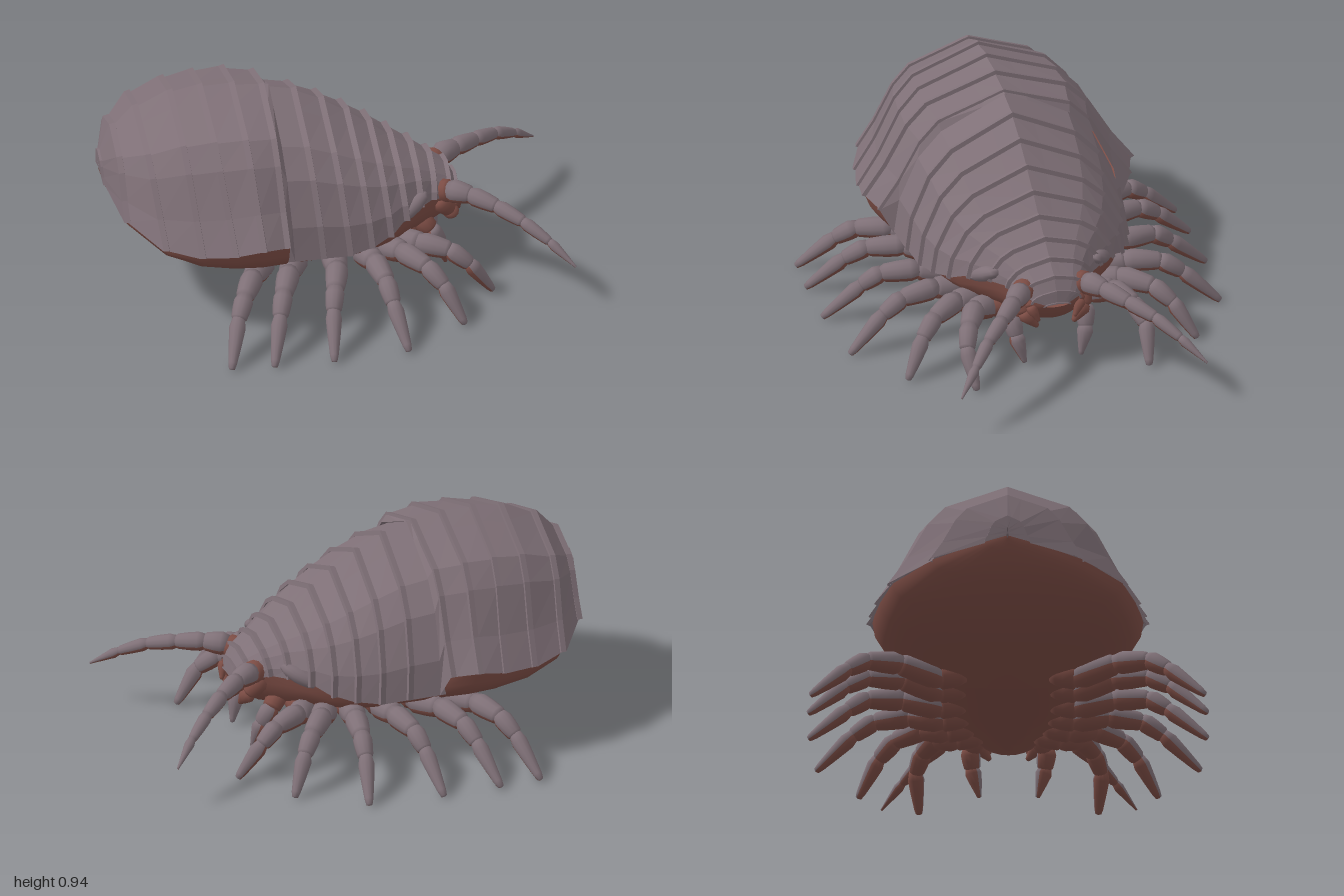
import * as THREE from 'three';

const shell = new THREE.MeshStandardMaterial({ color: 0x7f7077, side: THREE.DoubleSide });
shell.name = 'shell grey';
const flesh = new THREE.MeshStandardMaterial({ color: 0x7d4d45, side: THREE.DoubleSide });
flesh.name = 'belly brown';

// Station: ridge x, ridge y, side x, side y, half width, belly y
const abdomen = [
  [-0.995, 0.62, -0.99, 0.58, 0.004, 0.57],
  [-0.985, 0.67, -0.975, 0.55, 0.10, 0.52],
  [-0.92, 0.79, -0.91, 0.495, 0.33, 0.41],
  [-0.82, 0.875, -0.77, 0.445, 0.51, 0.315],
  [-0.67, 0.935, -0.62, 0.425, 0.565, 0.25],
  [-0.54, 0.95, -0.48, 0.43, 0.59, 0.225],
  [-0.40, 0.945, -0.36, 0.45, 0.60, 0.21],
  [-0.27, 0.925, -0.25, 0.435, 0.56, 0.20],
];
const thorax = [
  [-0.27, 0.925, -0.24, 0.33, 0.505, 0.20],
  [-0.13, 0.89, -0.08, 0.32, 0.485, 0.20],
  [-0.01, 0.83, 0.04, 0.31, 0.465, 0.20],
  [0.10, 0.76, 0.14, 0.32, 0.435, 0.20],
  [0.20, 0.69, 0.23, 0.34, 0.39, 0.20],
  [0.29, 0.62, 0.31, 0.375, 0.325, 0.20],
  [0.38, 0.56, 0.385, 0.39, 0.25, 0.20],
  [0.46, 0.505, 0.45, 0.385, 0.19, 0.21],
  [0.53, 0.455, 0.52, 0.37, 0.15, 0.25],
  [0.565, 0.40, 0.555, 0.35, 0.11, 0.30],
  [0.575, 0.35, 0.57, 0.335, 0.06, 0.33],
];

// Angular half sections of the back: width share, height share
const mirrored = half => [...half.slice(1).reverse().map(([u, v]) => [-u, v]), ...half];
const flared = mirrored([[0, 1], [0.17, 0.93], [0.52, 0.79], [0.67, 0.61], [0.84, 0.26], [1, 0]]);
const upright = mirrored([[0, 1], [0.2, 0.92], [0.57, 0.77], [0.78, 0.58], [0.95, 0.26], [1, 0]]);

function loft(rings, flat) {
  const n = rings[0].length, index = [];
  for (let i = 0; i < rings.length - 1; i++) {
    for (let j = 0; j < n - 1; j++) {
      const a = i * n + j, c = a + n;
      index.push(a, a + 1, c, a + 1, c + 1, c);
    }
  }
  let geo = new THREE.BufferGeometry();
  geo.setAttribute('position', new THREE.Float32BufferAttribute(rings.flat(2), 3));
  geo.setIndex(index);
  if (flat) geo = geo.toNonIndexed();
  geo.computeVertexNormals();
  return geo;
}

function add(parent, name, geo, mat) {
  const mesh = new THREE.Mesh(geo, mat);
  mesh.name = name;
  parent.add(mesh);
  return mesh;
}

function backRing(section, [rx, ry, sx, sy, w], lift, dx = 0) {
  const k = Math.min(1, w / 0.2);
  return section.map(([u, v]) => [
    rx + (sx - rx) * (1 - v) + dx * k,
    sy + (ry - sy) * v + lift * k * (0.3 + 0.7 * v),
    u * (w + lift * k * 0.8),
  ]);
}

// Overlapping plates: each has a raised front lip over the next one
function plates(parent, rows, section, name) {
  for (let i = 0; i < rows.length - 1; i++) {
    const a = rows[i], b = rows[i + 1];
    add(parent, name + (i + 1), loft([
      backRing(section, a, -0.006, -0.01), backRing(section, b, 0.004, -0.025),
      backRing(section, b, 0.011), backRing(section, b, -0.01, 0.004),
    ], true), shell);
  }
}

function bellyRing([, , sx, sy, w, by], inset) {
  const ring = [];
  for (let j = 0; j <= 16; j++) {
    const t = (j / 16) * Math.PI;
    ring.push([sx, sy + 0.01 - (sy + 0.01 - by) * Math.pow(Math.abs(Math.sin(t)), 0.8), w * inset * Math.cos(t)]);
  }
  return ring;
}

// One rounded limb joint, grey above and brown beneath
function joint(parent, a, b, r0, r1, upper) {
  const dir = b.clone().sub(a), L = dir.length();
  dir.normalize();
  const up = new THREE.Vector3(0, 1, 0).addScaledVector(dir, -dir.y).normalize();
  const basis = new THREE.Matrix4().makeBasis(new THREE.Vector3().crossVectors(dir, up), dir, up).setPosition(a);
  const profile = [[0, -r0 * 0.45], [r0 * 0.75, -r0 * 0.3], [r0, L * 0.15], [(r0 + r1) / 2 * 1.04, L * 0.5],
    [r1, L * 0.88], [r1 * 0.7, L], [0, L + r1 * 0.25]].map(p => new THREE.Vector2(...p));
  const top = new THREE.LatheGeometry(profile, 7, -0.6 * Math.PI, 1.2 * Math.PI);
  const under = new THREE.LatheGeometry(profile, 5, 0.6 * Math.PI, 0.8 * Math.PI);
  add(parent, 'jointUpper', top.applyMatrix4(basis), upper);
  add(parent, 'jointUnderside', under.applyMatrix4(basis), flesh);
}

function limb(parent, name, points, radii, side, fleshy) {
  const group = new THREE.Group();
  group.name = name;
  const p = points.map(([x, y, z]) => new THREE.Vector3(x, y, z * side));
  for (let i = 0; i < p.length - 1; i++) {
    joint(group, p[i], p[i + 1], radii[i], radii[i + 1] * 0.97, i < fleshy ? flesh : shell);
  }
  parent.add(group);
}

// Leg joints in plan: x, z pairs from hip to tip
const legs = [
  [[-0.32, 0.30], [-0.40, 0.47], [-0.46, 0.61], [-0.50, 0.69], [-0.555, 0.845]],
  [[-0.18, 0.30], [-0.24, 0.46], [-0.29, 0.61], [-0.32, 0.70], [-0.37, 0.855]],
  [[-0.02, 0.30], [-0.03, 0.46], [-0.065, 0.61], [-0.085, 0.69], [-0.11, 0.855]],
  [[0.11, 0.29], [0.14, 0.43], [0.165, 0.58], [0.18, 0.67], [0.22, 0.825]],
  [[0.22, 0.27], [0.27, 0.37], [0.36, 0.49], [0.42, 0.56], [0.495, 0.645]],
  [[0.30, 0.23], [0.36, 0.31], [0.48, 0.37], [0.56, 0.40], [0.66, 0.385]],
];
const legHeights = [0.22, 0.25, 0.235, 0.175, 0.03];

export function createModel() {
  const model = new THREE.Group();
  model.name = 'armouredCrustacean';

  plates(model, abdomen, flared, 'abdomenPlate');
  plates(model, thorax, upright, 'thoraxPlate');
  // Step where the wide abdomen narrows to the thorax
  add(model, 'waistStep', loft([
    backRing(flared, abdomen.at(-1), 0), backRing(upright, thorax[0], 0, 0.02),
  ], true), shell);
  // Belly rises at the front to form the underside of the head
  add(model, 'belly', loft([
    ...abdomen.map(r => bellyRing(r, 0.97)), ...thorax.map(r => bellyRing(r, 0.9)),
  ], false), flesh);

  for (const side of [1, -1]) {
    const s = side > 0 ? 'left' : 'right';

    // Walking legs with fleshy hips
    legs.forEach((leg, i) => {
      const pts = leg.map(([x, z], k) => [x, legHeights[k], z]);
      const hip = [leg[0][0] + 0.02, 0.245, leg[0][1] - 0.10];
      limb(model, `${s}Leg${i + 1}`, [hip, ...pts], [0.05, 0.056, 0.05, 0.042, 0.036, 0.02], side, 1);
    });

    // Short front legs tucked under the head
    limb(model, `${s}FrontLeg`, [[0.38, 0.27, 0.13], [0.43, 0.22, 0.165], [0.47, 0.15, 0.155], [0.50, 0.035, 0.125]],
      [0.045, 0.042, 0.036, 0.014], side, 1);

    // Long tapering antenna
    limb(model, `${s}Antenna`, [[0.44, 0.37, 0.09], [0.52, 0.40, 0.15], [0.60, 0.40, 0.205], [0.70, 0.38, 0.285],
      [0.80, 0.345, 0.375], [0.90, 0.285, 0.46], [0.995, 0.205, 0.548]],
      [0.055, 0.052, 0.042, 0.035, 0.029, 0.022, 0.007], side, 1);

    // Mouthparts
    limb(model, `${s}Mandible`, [[0.47, 0.35, 0.14], [0.52, 0.29, 0.13], [0.54, 0.23, 0.08]], [0.045, 0.036, 0.014], side, 2);
    limb(model, `${s}Palp`, [[0.50, 0.36, 0.10], [0.545, 0.33, 0.11], [0.565, 0.27, 0.08]], [0.032, 0.025, 0.01], side, 2);

    // Cheek plate beside the head
    const cheek = add(model, `${s}Cheek`, new THREE.SphereGeometry(1, 10, 8), shell);
    cheek.scale.set(0.1, 0.035, 0.04);
    cheek.rotation.set(0, side * 0.5, 0.45);
    cheek.position.set(0.325, 0.4, side * 0.26);
  }
  return model;
}
